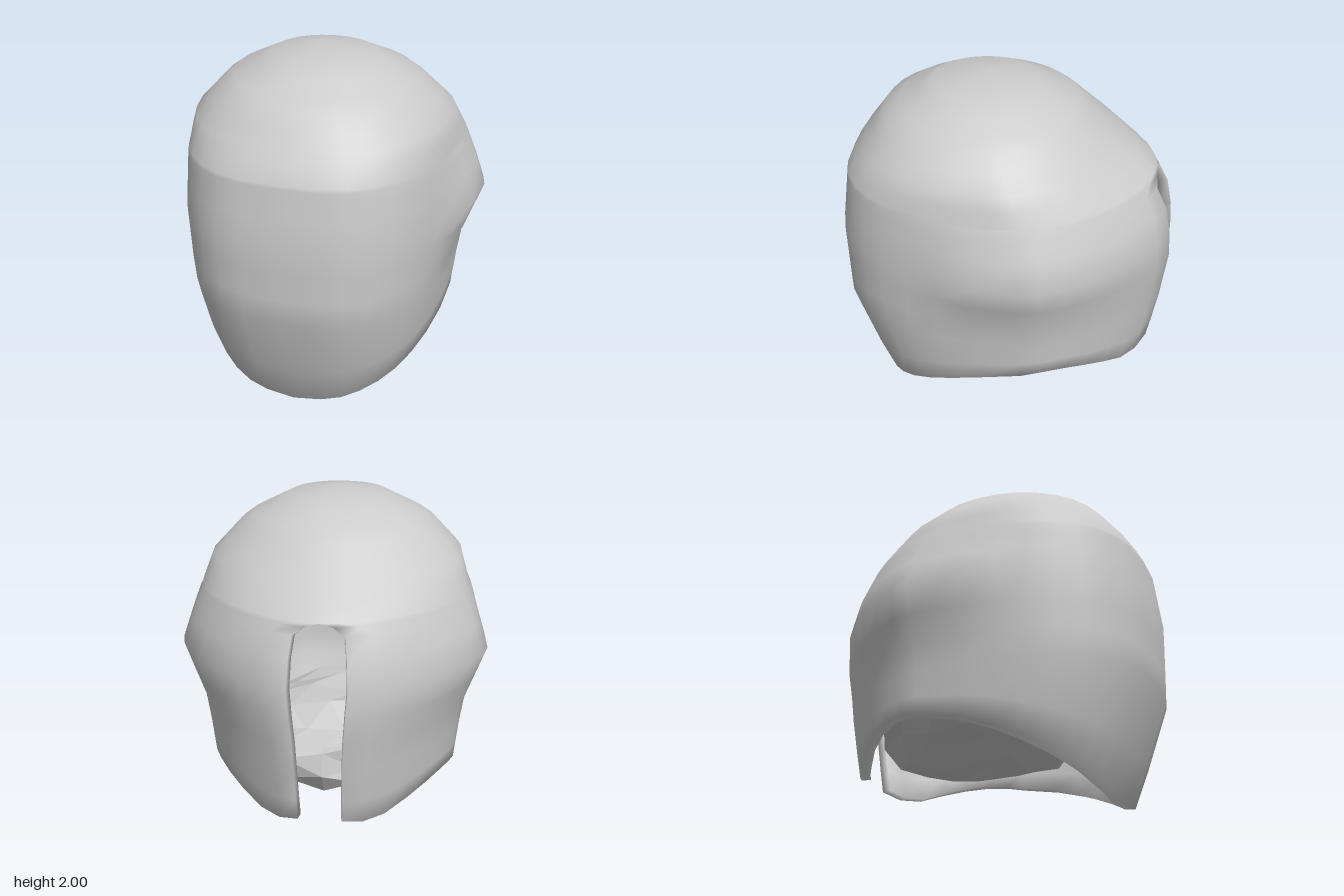
import * as THREE from 'three';
import { mergeVertices } from 'three/addons/utils/BufferGeometryUtils.js';

const { lerp, smoothstep } = THREE.MathUtils;

// Piecewise-linear lookup in a list of [key, value] pairs
function look(list, k) {
  if (k <= list[0][0]) return list[0][1];
  for (let i = 1; i < list.length; i++) {
    const [a, va] = list[i - 1], [b, vb] = list[i];
    if (k <= b) return lerp(va, vb, (k - a) / (b - a));
  }
  return list[list.length - 1][1];
}

// Half width, side bulge, front and back of the shell by height
const WIDTH = [[0, 0.6], [0.16, 0.66], [0.36, 0.72], [0.78, 0.77], [1.12, 0.79], [1.35, 0.78], [1.63, 0.73], [1.82, 0.55], [1.95, 0.29], [2, 0]];
const BULGE = [[0.78, 0], [1.12, 0.11], [1.35, 0.043], [1.63, 0]];
const FRONT = [[0, 0.73], [0.65, 0.96], [1.12, 0.97], [1.5, 0.92], [1.79, 0.71], [1.95, 0.43], [2, 0.11]];
const BACK = [[0.3, -0.9], [0.6, -0.96], [1, -1.01], [1.25, -0.98], [1.47, -0.86], [1.64, -0.63], [1.84, -0.4], [1.95, -0.16], [2, 0.11]];
// By angle from the front, in degrees: share of the side bulge, and rim height
const BULGE_SHARE = [[65, 0], [75, 0.3], [84, 1]];
const RIM = [[0, 0], [22, 0.05], [48, 0.16], [68, 0.27], [80, 0.35], [92, 0.41], [108, 0.44], [119, 0.43], [132, 0.38], [146, 0.3], [158, 0.29], [168, 0.33]];
// Row heights above the rim, and half angle of the rear slot by height
const ROWS = [0.65, 0.8, 0.96, 1.12, 1.28, 1.4, 1.45, 1.47, 1.55, 1.63, 1.71, 1.79, 1.84, 1.9, 1.95, 2];
const SLOT = [[0.4, 0.25], [1.28, 0.26], [1.4, 0.24], [1.45, 0.14], [1.46, 0]];
const COLS = 32, THICK = 0.06;

function shellPoint(u, row, inset) {
  const low = row < 2;
  const angle = u * (Math.PI - look(SLOT, low ? 0.4 : ROWS[row - 2]));
  const degrees = Math.abs(angle) * 180 / Math.PI;
  const y = low ? lerp(look(RIM, degrees), ROWS[0], row * 0.4) : ROWS[row - 2];
  const s = Math.sin(angle), c = Math.cos(angle);
  const crown = smoothstep(y, 1.2, 1.95);
  const mid = lerp(-0.15, 0.11, crown);
  // Boxy towards the front, tapering towards the back, round on the crown
  const power = c > 0 ? lerp(0.75, 0.95, smoothstep(y, 1.4, 1.95)) : lerp(1.25, 1, crown);
  const w = Math.max(0, look(WIDTH, y) + look(BULGE, y) * look(BULGE_SHARE, degrees) - inset);
  const reach = Math.max(0, (c > 0 ? look(FRONT, y) - mid : mid - look(BACK, y)) - inset);
  return [
    Math.sign(s) * Math.abs(s) ** power * w,
    y - inset * Math.max(0, (y - 1.3) / 0.7),
    mid + Math.sign(c) * Math.abs(c) ** power * reach,
  ];
}

// Outer and inner skins joined along the rim and the slot edges
function shellGeometry() {
  const pos = [], idx = [], rows = ROWS.length + 2, n = COLS + 1;
  for (const inset of [0, THICK])
    for (let r = 0; r < rows; r++)
      for (let i = 0; i < n; i++) pos.push(...shellPoint(i / COLS * 2 - 1, r, inset));
  const at = (skin, r, i) => (skin * rows + r) * n + i;
  const quad = (a, b, c, d) => idx.push(a, b, c, a, c, d);
  for (let r = 0; r < rows - 1; r++) {
    for (let i = 0; i < COLS; i++) {
      quad(at(0, r, i), at(0, r, i + 1), at(0, r + 1, i + 1), at(0, r + 1, i));
      quad(at(1, r, i + 1), at(1, r, i), at(1, r + 1, i), at(1, r + 1, i + 1));
    }
    if (r > 1 && ROWS[r - 2] > 1.45) continue;
    quad(at(1, r, 0), at(0, r, 0), at(0, r + 1, 0), at(1, r + 1, 0));
    quad(at(0, r, COLS), at(1, r, COLS), at(1, r + 1, COLS), at(0, r + 1, COLS));
  }
  for (let i = 0; i < COLS; i++) quad(at(1, 0, i), at(1, 0, i + 1), at(0, 0, i + 1), at(0, 0, i));
  let geo = new THREE.BufferGeometry();
  geo.setAttribute('position', new THREE.Float32BufferAttribute(pos, 3));
  geo.setIndex(idx);
  geo = mergeVertices(geo, 1e-4);
  geo.computeVertexNormals();
  return geo;
}

// Faceted lump with a flattened underside, filling the lower part of the shell
function coreGeometry() {
  const geo = new THREE.IcosahedronGeometry(1, 2);
  const p = geo.attributes.position;
  const v = new THREE.Vector3();
  for (let i = 0; i < p.count; i++) {
    v.fromBufferAttribute(p, i);
    // Bumps depend on position only, so shared corners stay together
    const bump = 0.95 + 0.09 * Math.sin(v.x * 7.3 + v.y * 11.1 + 1) * Math.cos(v.z * 8.7 - v.x * 5.1);
    const jag = 0.04 * Math.sin(v.x * 13 + v.z * 17);
    const height = v.y > 0 ? v.y * 0.25 : -0.21 * Math.abs(v.y) ** 0.6;
    const tip = 0.09 * Math.max(0, -v.y) * Math.max(0, 1 - Math.hypot(v.x, v.z + 0.2) * 2);
    p.setXYZ(i, v.x * 0.63 * bump, Math.max(0.58 + height * bump + jag - tip, 0.25), -0.15 + v.z * 0.63 * bump);
  }
  geo.computeVertexNormals();
  return geo;
}

export function createModel() {
  const group = new THREE.Group();
  group.name = 'helmet';
  const add = (name, geo, options) => {
    const mesh = new THREE.Mesh(geo, new THREE.MeshStandardMaterial({ color: 0xcccccc, ...options }));
    mesh.name = name;
    group.add(mesh);
  };
  add('shell', shellGeometry(), { side: THREE.DoubleSide });
  add('innerCore', coreGeometry(), { flatShading: true });
  return group;
}
